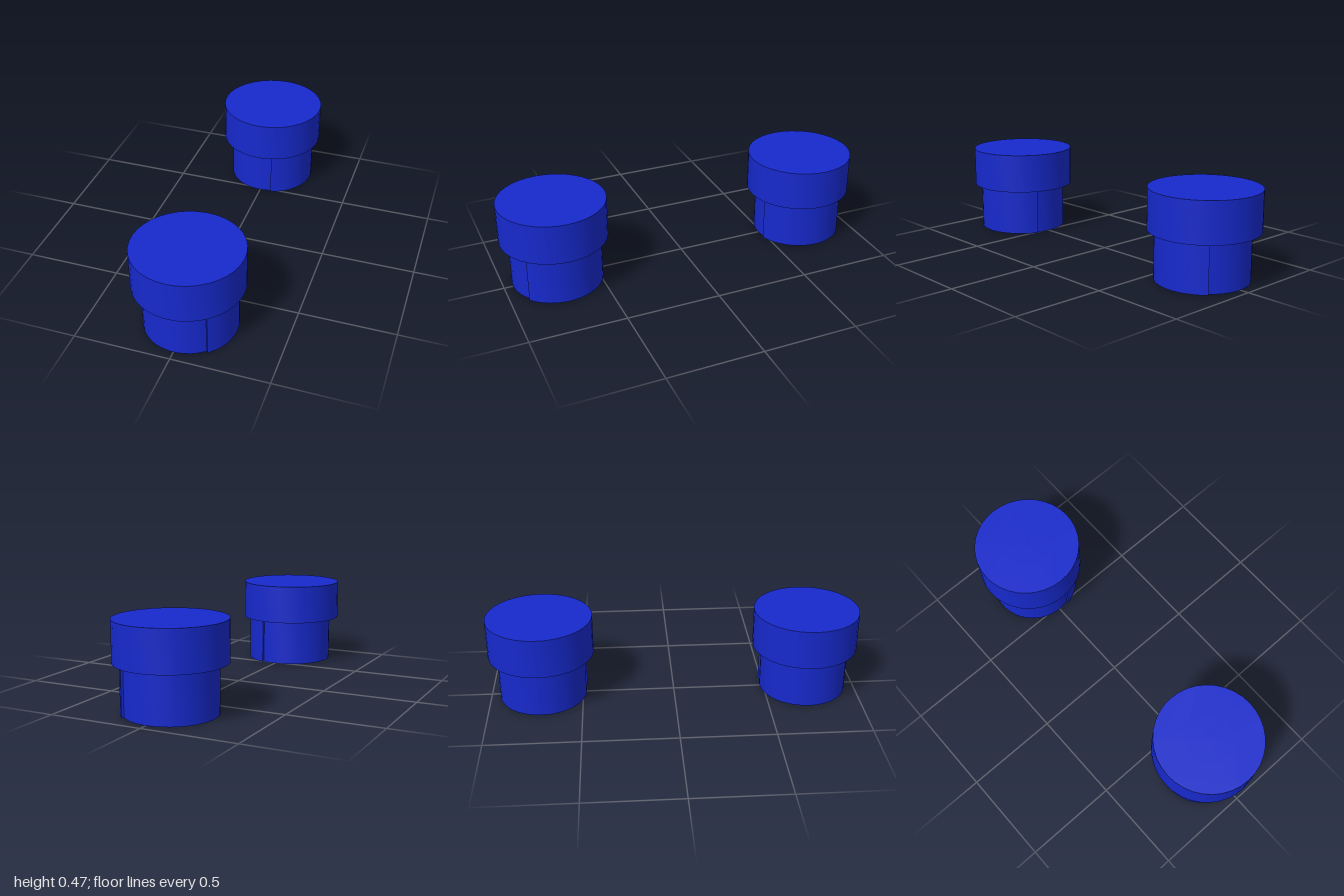
import * as THREE from 'three';
import { toCreasedNormals } from 'three/addons/utils/BufferGeometryUtils.js';

const FLANGE_Y = 0.254, TOP_Y = 0.467;
const FLANGE_R = 0.283, BODY_R = 0.235, RAISED_R = 0.247, CORE_R = 0.125;
const rad = THREE.MathUtils.degToRad;

// Extrude an outline upwards, with a round bore left for the core
function ring(points, y0, y1) {
  const shape = new THREE.Shape(points);
  const bore = new THREE.Path();
  bore.absarc(0, 0, CORE_R, 0, Math.PI * 2, true);
  shape.holes.push(bore);
  const geo = new THREE.ExtrudeGeometry(shape, { depth: y1 - y0, bevelEnabled: false, curveSegments: 16 });
  geo.rotateX(-Math.PI / 2).translate(0, y0, 0);
  return toCreasedNormals(geo, rad(35));
}

// Points of an arc; angles in degrees run from +z towards +x
function arc(radius, from, to, steps) {
  return Array.from({ length: steps + 1 }, (_, i) => {
    const t = rad(from + (to - from) * i / steps);
    return new THREE.Vector2(radius * Math.sin(t), -radius * Math.cos(t));
  });
}

// One flanged bushing; the stem has a raised sector between two small steps
function createBushing(name, from, to, material) {
  const bushing = new THREE.Group();
  bushing.name = name;
  const add = (part, geo) => {
    const mesh = new THREE.Mesh(geo, material);
    mesh.name = part;
    bushing.add(mesh);
  };
  add('flange', ring(arc(FLANGE_R, 0, 360, 36).slice(0, -1), FLANGE_Y, TOP_Y));
  add('stem', ring([
    ...arc(RAISED_R, from, to, 14),
    ...arc(BODY_R, to, from + 360, 26),
  ], 0, FLANGE_Y));
  const core = new THREE.CylinderGeometry(CORE_R, CORE_R, TOP_Y, 32);
  core.translate(0, TOP_Y / 2, 0);
  add('core', core);
  return bushing;
}

export function createModel() {
  const group = new THREE.Group();
  group.name = 'bushingPair';
  const blue = new THREE.MeshStandardMaterial({ color: 0x1629cc });
  const front = createBushing('frontBushing', 40, 161, blue);
  front.position.z = 0.717;
  const back = createBushing('backBushing', 15, 137, blue);
  back.position.z = -0.717;
  group.add(front, back);
  return group;
}
